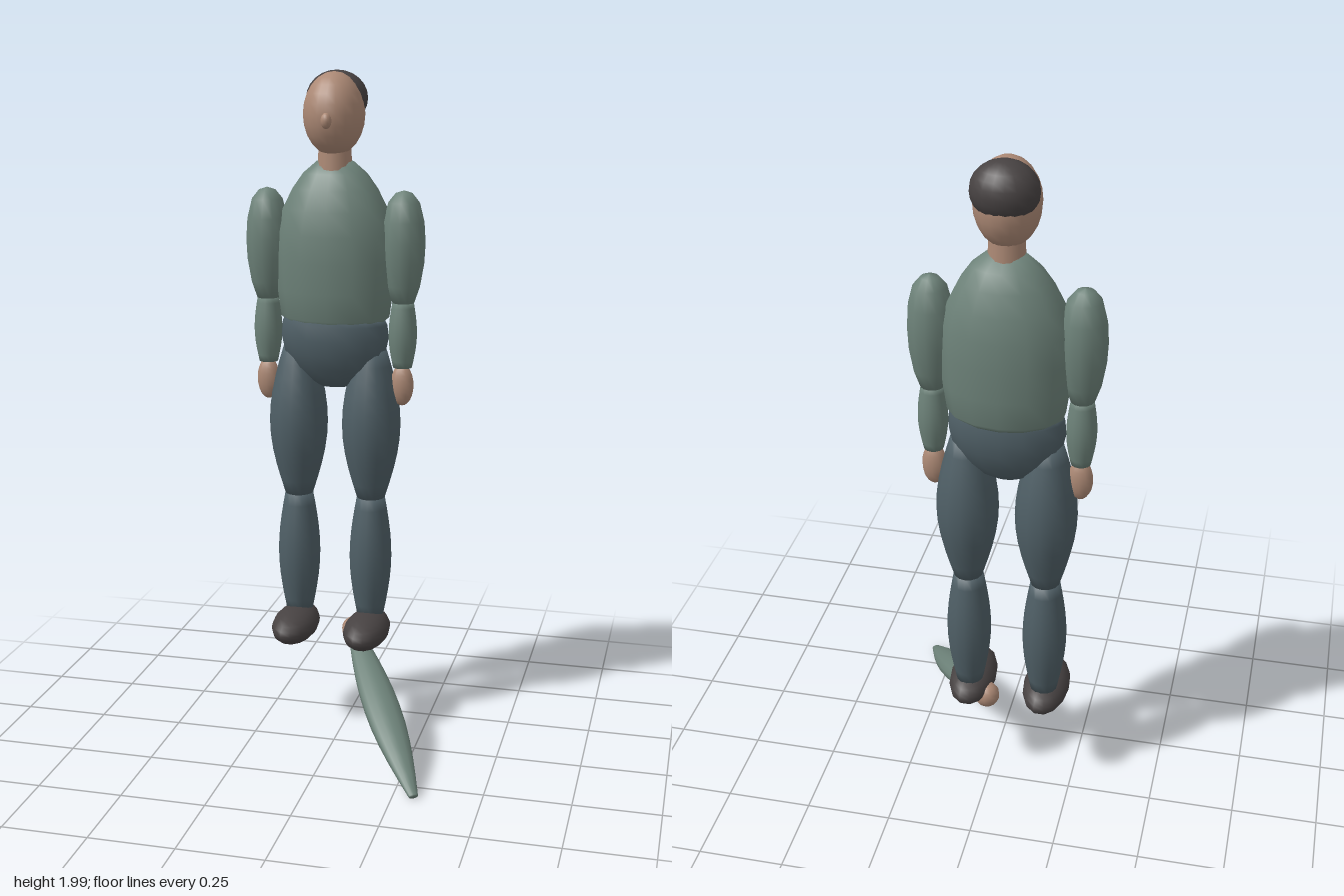
import * as THREE from 'three';

const mat = (name, color) => {
  const m = new THREE.MeshStandardMaterial({ color });
  m.name = name;
  return m;
};

export function createModel() {
  const skin = mat('skin', 0xac8975);
  const cloth = mat('sweaterGreen', 0x6d8279);
  const trousers = mat('trouserBlue', 0x4f5f66);
  const dark = mat('darkBrown', 0x474242);

  const CX = -0.047, CZ = -0.205; // axis of the standing body
  const figure = new THREE.Group();
  figure.name = 'figure';

  const add = (name, geo, material, x, y, z) => {
    const m = new THREE.Mesh(geo, material);
    m.name = name;
    m.position.set(x, y, z);
    figure.add(m);
    return m;
  };

  const ellipsoid = (rx, ry, rz, seg = 16) =>
    new THREE.SphereGeometry(1, seg, 12).scale(rx, ry, rz);

  // closed turned form from [radius, height] pairs, squashed in depth
  const turned = (profile, depth, seg = 16) =>
    new THREE.LatheGeometry(profile.map(([r, y]) => new THREE.Vector2(r, y)), seg).scale(1, 1, depth);

  // swelling limb: narrow ends, full middle, centred on its own origin
  const limb = (len, mid, end0, end1, depth = 1) => {
    const pts = [[0, -len / 2]];
    for (let i = 0; i <= 10; i++) {
      const t = i / 10;
      const end = t < 0.5 ? end0 : end1;
      pts.push([end + (mid - end) * Math.sin(Math.PI * t), (t - 0.5) * len]);
    }
    pts.push([0, len / 2]);
    return turned(pts, depth, 14);
  };

  // head, hair and nose
  add('head', ellipsoid(0.09, 0.121, 0.1, 20), skin, CX, 1.876, -0.193);
  add('hair', ellipsoid(0.092, 0.081, 0.077, 18), dark, CX, 1.919, -0.228);
  add('nose', ellipsoid(0.016, 0.023, 0.017, 12), skin, CX, 1.862, -0.096);
  add('neck', new THREE.CylinderGeometry(0.046, 0.052, 0.12, 14), skin, CX, 1.755, -0.202);

  // torso and hips
  add('torso', turned([[0, 1.26], [0.14, 1.262], [0.164, 1.28], [0.175, 1.36], [0.18, 1.45], [0.176, 1.53],
    [0.158, 1.6], [0.128, 1.66], [0.096, 1.705], [0.055, 1.74], [0, 1.745]], 0.67, 14), cloth, CX, 0, -0.207);
  add('hips', turned([[0, 1.064], [0.045, 1.07], [0.09, 1.092], [0.13, 1.13], [0.155, 1.175], [0.165, 1.22],
    [0.161, 1.262], [0.15, 1.283], [0, 1.285]], 0.62), trousers, CX, 0, -0.2);

  // arms and legs on both sides
  for (const [side, s] of [['left', 1], ['right', -1]]) {
    const ax = CX + s * 0.207, lx = CX + s * 0.113;
    add(side + 'UpperArm', turned([[0, 1.325], [0.033, 1.33], [0.05, 1.38], [0.062, 1.45], [0.065, 1.51],
      [0.061, 1.57], [0.047, 1.625], [0.025, 1.652], [0, 1.66]], 1, 12), cloth, ax, 0, -0.203);
    add(side + 'Forearm', limb(0.2, 0.042, 0.028, 0.031), cloth, ax, 1.235, -0.203);
    add(side + 'Hand', ellipsoid(0.035, 0.063, 0.027, 12), skin, ax, 1.082, -0.2);
    add(side + 'Thigh', limb(0.46, 0.088, 0.042, 0.045, 1.08), trousers, lx, 0.955, -0.202);
    add(side + 'Shin', limb(0.385, 0.064, 0.04, 0.042, 1.08), trousers, lx, 0.538, -0.202);
    add(side + 'Shoe', ellipsoid(0.069, 0.052, 0.132, 14), dark, lx, 0.313, -0.154);
  }

  // long flattened spindle slanting forward from under the left foot
  const start = new THREE.Vector3(0.015, 0.285, -0.205);
  const tip = new THREE.Vector3(0.311, 0.014, 0.322);
  const dir = tip.clone().sub(start);
  const length = dir.length();
  dir.normalize();
  const wide = new THREE.Vector3().crossVectors(dir, new THREE.Vector3(0, 1, 0)).normalize();
  const thin = new THREE.Vector3().crossVectors(wide, dir);
  const mid = start.clone().add(tip).multiplyScalar(0.5);
  const spindle = add('spindle', limb(length, 0.055, 0.02, 0.014, 0.66), cloth, mid.x, mid.y, mid.z);
  spindle.quaternion.setFromRotationMatrix(new THREE.Matrix4().makeBasis(wide, dir, thin));
  add('spindleKnob', ellipsoid(0.038, 0.04, 0.036, 12), skin, 0.013, 0.288, -0.208);

  const model = new THREE.Group();
  model.name = 'model';
  model.add(figure);
  return model;
}
